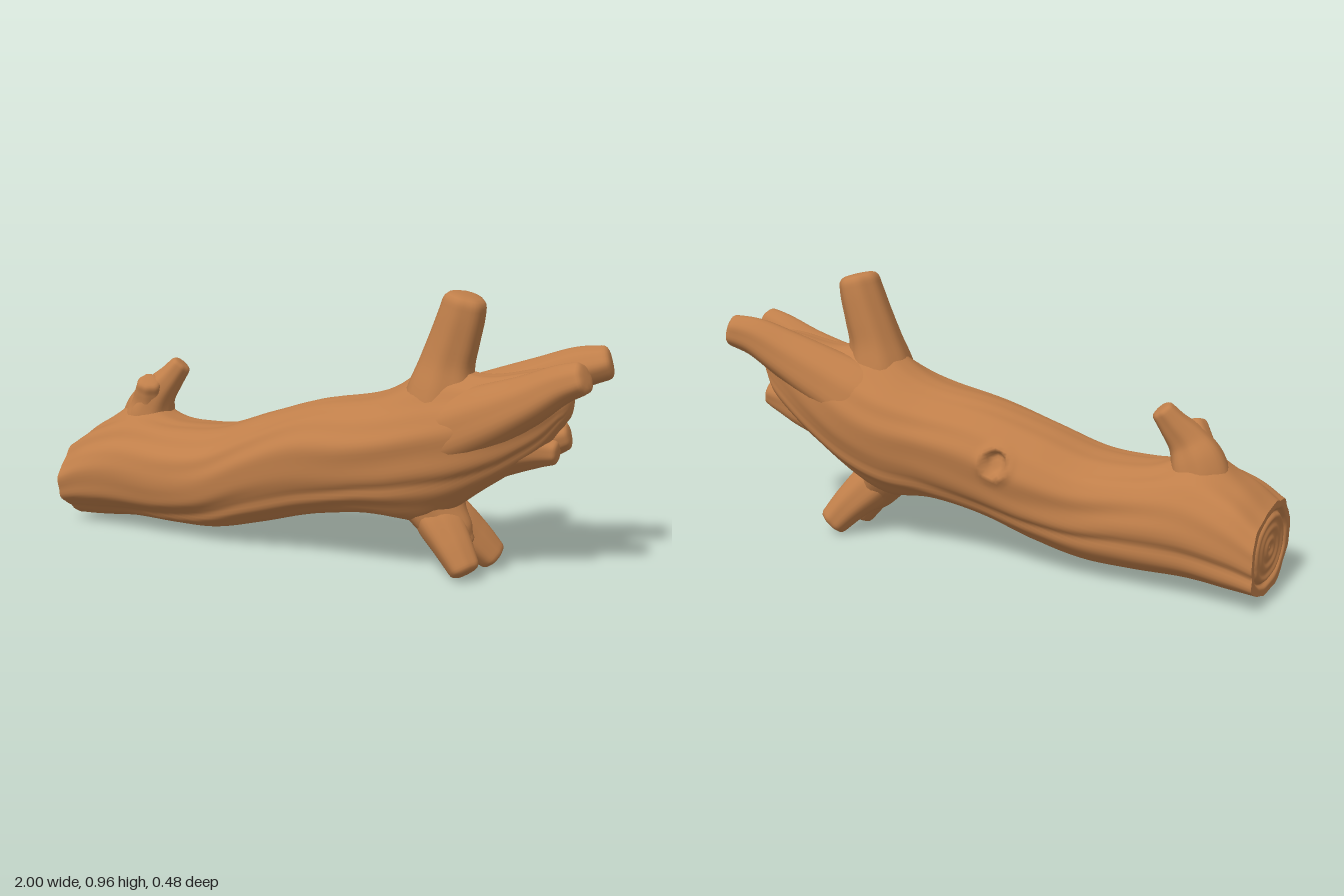
import * as THREE from 'three';

const SEG = 96;
const bark = new THREE.MeshStandardMaterial({ color: 0xc07f4a });
bark.name = 'bark brown';

// Skin a list of closed rings (arrays of Vector3); optionally close the last ring with a point.
function skin(rings, closeEnd) {
  const n = rings[0].length, pos = [], idx = [];
  rings.forEach(r => r.forEach(p => pos.push(p.x, p.y, p.z)));
  for (let i = 0; i < rings.length - 1; i++) {
    for (let j = 0; j < n; j++) {
      const a = i * n + j, b = i * n + (j + 1) % n;
      idx.push(a, b, a + n, b, b + n, a + n);
    }
  }
  if (closeEnd) {
    const last = rings[rings.length - 1], c = new THREE.Vector3();
    last.forEach(p => c.addScaledVector(p, 1 / n));
    pos.push(c.x, c.y, c.z);
    const base = (rings.length - 1) * n;
    for (let j = 0; j < n; j++) idx.push(base + j, base + (j + 1) % n, rings.length * n);
  }
  const g = new THREE.BufferGeometry();
  g.setAttribute('position', new THREE.Float32BufferAttribute(pos, 3));
  g.setIndex(idx);
  g.computeVertexNormals();
  return g;
}

function part(name, geometry) {
  const m = new THREE.Mesh(geometry, bark);
  m.name = name;
  return m;
}

// Trunk outline along x: [x, top, bottom, front z, back z]
const OUTLINE = [
  [-1, 0.31, 0.012, 0.232, -0.222], [-0.9, 0.375, 0.016, 0.23, -0.22], [-0.75, 0.41, 0.03, 0.225, -0.212],
  [-0.55, 0.405, 0.031, 0.22, -0.207], [-0.38, 0.42, 0.04, 0.215, -0.207], [-0.2, 0.482, 0.085, 0.207, -0.215],
  [0, 0.547, 0.143, 0.205, -0.213], [0.2, 0.587, 0.178, 0.21, -0.22], [0.36, 0.628, 0.193, 0.195, -0.235],
  [0.52, 0.66, 0.25, 0.16, -0.225], [0.66, 0.695, 0.335, 0.12, -0.205], [0.76, 0.72, 0.41, 0.085, -0.185],
  [0.83, 0.728, 0.475, 0.055, -0.165], [0.88, 0.71, 0.55, 0.015, -0.125],
];
const heights = new THREE.CatmullRomCurve3(OUTLINE.map(o => new THREE.Vector3(o[0], o[1], o[2])), false, 'catmullrom');
const depths = new THREE.CatmullRomCurve3(OUTLINE.map(o => new THREE.Vector3(o[0], o[3], o[4])), false, 'catmullrom');
const KNOT = new THREE.Vector2(-0.09, 0.385);

// Swellings where limbs leave the trunk: [x, z, lift, spread]
const SWELLS = [[0.45, -0.01, 0.07, 0.12], [-0.76, -0.01, 0.07, 0.1], [0.43, -0.02, -0.055, 0.12]];

// Long wandering bark ridges
function ridges(a, x) {
  const end = 1 + 0.7 * Math.max(0, (-0.75 - x) / 0.25);
  const w = a + 0.22 * Math.sin(3.1 * x + 1) + 0.06 * Math.sin(9 * x + 2 * a);
  return 0.018 * end * Math.sin(5 * w + 0.6) + 0.012 * Math.sin(9 * w + 2.5 * x)
    + 0.011 * Math.sin(14 * w - 2 * x) - 0.035 * Math.pow(Math.max(0, Math.sin(3 * w + 1.2)), 24);
}

function trunkRing(t, scale = 1, dx = 0) {
  const h = heights.getPoint(t), d = depths.getPoint(t), ring = [];
  const cy = (h.y + h.z) / 2, cz = (d.y + d.z) / 2;
  const soft = v => Math.sign(v) * Math.pow(Math.abs(v), 0.88);
  for (let j = 0; j < SEG; j++) {
    const a = j / SEG * Math.PI * 2;
    const k = scale * (0.995 + ridges(a, h.x) * scale ** 4);
    const p = new THREE.Vector3(h.x + dx, cy + soft(Math.cos(a)) * (h.y - h.z) / 2 * k,
      cz + soft(Math.sin(a)) * (d.y - d.z) / 2 * k);
    SWELLS.forEach(([x, z, lift, w]) => {
      const facing = Math.max(0, Math.cos(a) * Math.sign(lift));
      p.y += lift * facing * Math.exp(-((p.x - x) ** 2 + (p.z - z) ** 2) / (w * w));
    });
    // Knot hole on the back: raised rim around a hollow
    if (p.z < -0.08 && scale === 1) {
      const r = Math.hypot(p.x - KNOT.x, p.y - KNOT.y);
      p.z -= 0.01 * Math.exp(-Math.pow((r - 0.052) / 0.016, 2));
      if (r < 0.044) p.z += 0.03 * Math.min(1, (0.044 - r) / 0.016);
    }
    ring.push(p);
  }
  return ring;
}

// Limb along points [x, y, z, radius] with a bluntly rounded tip
function limb(points, seed = 0) {
  const path = new THREE.CatmullRomCurve3(points.map(p => new THREE.Vector3(p[0], p[1], p[2])), false, 'catmullrom');
  const radii = new THREE.CatmullRomCurve3(points.map((p, i) => new THREE.Vector3(i, p[3], 0)), false, 'catmullrom');
  const rings = [], steps = 26;
  const add = (t, scale, shift) => {
    const T = path.getTangent(t), c = path.getPoint(t).addScaledVector(T, shift);
    const S = new THREE.Vector3(0, 0, 1).addScaledVector(T, -T.z).normalize();
    const N = new THREE.Vector3().crossVectors(S, T);
    const r = radii.getPoint(t).y * scale, ring = [];
    for (let j = 0; j < 36; j++) {
      const a = j / 36 * Math.PI * 2;
      const k = r * (1 + 0.04 * Math.sin(3 * a + seed + 2 * t) + 0.025 * Math.sin(7 * a + 2 * seed + t));
      ring.push(c.clone().addScaledVector(N, Math.cos(a) * k).addScaledVector(S, Math.sin(a) * k));
    }
    rings.push(ring);
  };
  for (let i = 0; i <= steps; i++) add(i / steps, 1, 0);
  const R = points[points.length - 1][3];
  [[0.95, 0.16], [0.84, 0.29], [0.66, 0.37], [0.35, 0.4]].forEach(([s, d]) => add(1, s, d * R));
  return skin(rings, true);
}

export function createModel() {
  const log = new THREE.Group();
  log.name = 'fallenLog';

  // Trunk
  const rings = [];
  for (let i = 0; i <= 180; i++) rings.push(trunkRing(i / 180));
  [[0.8, 0.012], [0.5, 0.02], [0.2, 0.023]].forEach(([s, d]) => rings.push(trunkRing(1, s, d)));
  log.add(part('trunk', skin(rings, true)));

  // Sawn end: growth rings inside a groove and a rounded bark rim
  const cut = [];
  for (let i = 0; i <= 48; i++) {
    const s = Math.max(0.002, i / 48);
    const rim = 0.014 * Math.exp(-Math.pow((s - 0.76) / 0.05, 2));
    const growth = s < 0.7 ? 0.003 * (1 + Math.sin(s * 26)) : 0;
    cut.push(trunkRing(0, s, rim + growth));
  }
  log.add(part('cutEnd', skin(cut, false)));

  // Limbs, rooted inside the trunk and grouped where they fork
  const limbs = {
    upperFork: [
      [[0.25, 0.41, 0.03, 0.08], [0.45, 0.475, 0.035, 0.12], [0.62, 0.55, 0.036, 0.112], [0.78, 0.63, 0.036, 0.085], [0.89, 0.695, 0.038, 0.065], [0.965, 0.727, 0.043, 0.054]],
      [[0.25, 0.43, -0.06, 0.08], [0.45, 0.505, -0.09, 0.12], [0.62, 0.585, -0.11, 0.107], [0.77, 0.66, -0.13, 0.087], [0.88, 0.717, -0.152, 0.07], [0.967, 0.742, -0.175, 0.057]],
    ],
    frontStub: [
      [[0.42, 0.42, -0.03, 0.12], [0.6, 0.455, -0.05, 0.13], [0.74, 0.475, -0.075, 0.093], [0.82, 0.49, -0.093, 0.062], [0.865, 0.502, -0.102, 0.047]],
      [[0.5, 0.43, -0.02, 0.1], [0.66, 0.455, -0.03, 0.1], [0.78, 0.46, -0.042, 0.066], [0.85, 0.457, -0.046, 0.042]],
    ],
    topBranch: [
      [[0.445, 0.4, -0.01, 0.1], [0.452, 0.54, -0.01, 0.13], [0.461, 0.63, -0.012, 0.118], [0.475, 0.72, -0.016, 0.093], [0.498, 0.8, -0.02, 0.084], [0.522, 0.88, -0.022, 0.078], [0.534, 0.928, -0.022, 0.073]],
    ],
    lowerBranch: [
      [[0.4, 0.42, -0.02, 0.09], [0.415, 0.32, -0.018, 0.12], [0.435, 0.25, -0.015, 0.113], [0.472, 0.19, -0.01, 0.094], [0.515, 0.135, -0.01, 0.078], [0.54, 0.105, -0.015, 0.055]],
      [[0.42, 0.24, -0.01, 0.07], [0.475, 0.18, 0.012, 0.08], [0.53, 0.115, 0.036, 0.068], [0.583, 0.043, 0.054, 0.054]],
      [[0.42, 0.24, -0.015, 0.07], [0.485, 0.18, -0.038, 0.08], [0.55, 0.115, -0.078, 0.067], [0.608, 0.048, -0.112, 0.054]],
    ],
    smallBranch: [
      [[-0.765, 0.25, -0.01, 0.08], [-0.76, 0.35, -0.01, 0.1], [-0.742, 0.43, -0.01, 0.092], [-0.708, 0.495, -0.013, 0.069], [-0.665, 0.553, -0.035, 0.05], [-0.633, 0.597, -0.05, 0.04]],
      [[-0.765, 0.28, 0, 0.07], [-0.755, 0.39, 0, 0.088], [-0.735, 0.46, 0.01, 0.068], [-0.72, 0.51, 0.028, 0.052], [-0.71, 0.537, 0.04, 0.045]],
    ],
  };
  Object.entries(limbs).forEach(([name, list], g) => {
    const group = new THREE.Group();
    group.name = name;
    list.forEach((pts, i) => group.add(part(name + 'Limb' + (i + 1), limb(pts, g * 2 + i))));
    log.add(group);
  });
  return log;
}
